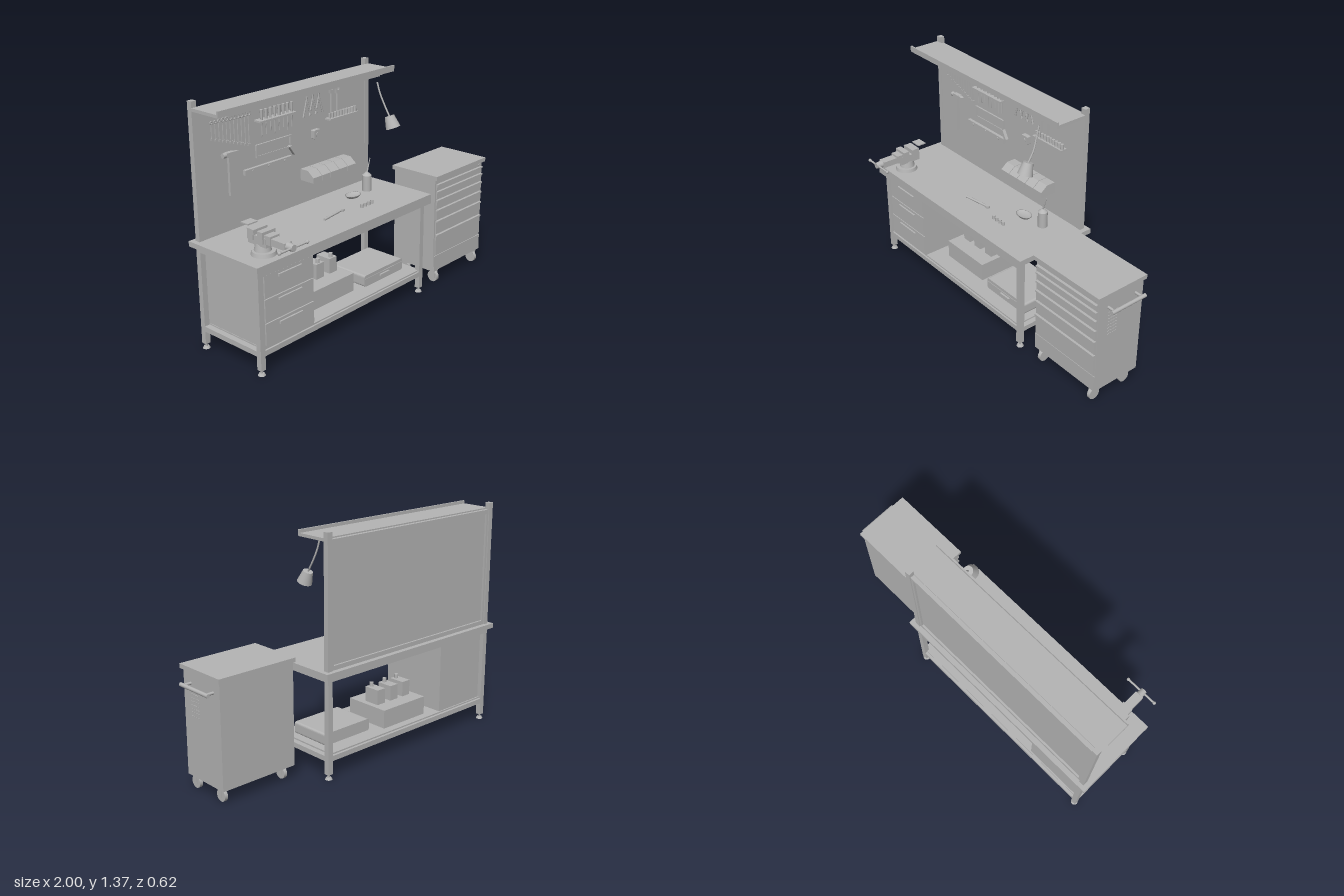
import * as THREE from 'three';

const steel = new THREE.MeshStandardMaterial({ color: 0xb4b4b4 });
steel.name = 'grey steel';

export function createModel() {
  const root = new THREE.Group();
  root.name = 'workshopBench';
  let target = root;

  // Helpers
  const add = (name, geo, x = 0, y = 0, z = 0) => {
    const m = new THREE.Mesh(geo, steel);
    m.name = name;
    m.position.set(x, y, z);
    target.add(m);
    return m;
  };
  const section = (name) => {
    target = new THREE.Group();
    target.name = name;
    root.add(target);
  };
  const box = (name, x0, x1, y0, y1, z0, z1) =>
    add(name, new THREE.BoxGeometry(x1 - x0, y1 - y0, z1 - z0), (x0 + x1) / 2, (y0 + y1) / 2, (z0 + z1) / 2);
  const cyl = (name, r0, r1, h, x, y, z, seg = 20) => add(name, new THREE.CylinderGeometry(r0, r1, h, seg), x, y, z);
  const V = (p) => new THREE.Vector3(...p);
  // Rod between two points
  const rod = (name, a, b, r0, r1 = r0, seg = 12) => {
    const A = V(a), d = V(b).sub(A);
    const m = cyl(name, r1, r0, d.length(), 0, 0, 0, seg);
    m.position.copy(A).addScaledVector(d, 0.5);
    m.quaternion.setFromUnitVectors(new THREE.Vector3(0, 1, 0), d.normalize());
    return m;
  };
  // Flat shape in x and y, given thickness along z
  const plate = (name, pts, depth, x, y, z) =>
    add(name, new THREE.ExtrudeGeometry(new THREE.Shape(pts.map((p) => new THREE.Vector2(...p))),
      { depth, bevelEnabled: false }), x, y, z);
  const roundedBox = (name, x0, x1, y0, y1, z0, z1, r) => {
    const w = x1 - x0, h = y1 - y0, s = new THREE.Shape();
    s.moveTo(r, 0).lineTo(w - r, 0).quadraticCurveTo(w, 0, w, r).lineTo(w, h - r).quadraticCurveTo(w, h, w - r, h);
    s.lineTo(r, h).quadraticCurveTo(0, h, 0, h - r).lineTo(0, r).quadraticCurveTo(0, 0, r, 0);
    return add(name, new THREE.ExtrudeGeometry(s, { depth: z1 - z0, bevelEnabled: false, curveSegments: 5 }), x0, y0, z0);
  };

  // Bench frame, shelf and worktop
  section('benchFrame');
  box('worktop', -1, 0.374, 0.593, 0.622, -0.31, 0.204);
  box('worktopFrontLip', -1, 0.374, 0.565, 0.593, 0.19, 0.204);
  for (const x of [-0.957, 0.33]) {
    box('rearPost', x - 0.016, x + 0.016, 0.03, 1.365, -0.286, -0.255);
    box('frontLeg', x - 0.016, x + 0.016, 0.03, 0.593, 0.145, 0.176);
    for (const z of [-0.27, 0.16]) {
      cyl('footPad', 0.014, 0.021, 0.012, x, 0.006, z);
      cyl('footStem', 0.006, 0.006, 0.03, x, 0.02, z, 10);
    }
    for (const y of [0.107, 0.563]) box('sideRail', x - 0.016, x + 0.016, y, y + 0.03, -0.255, 0.145);
  }
  for (const y of [0.107, 0.563])
    for (const z of [-0.286, 0.145]) box('longRail', -0.941, 0.314, y, y + 0.03, z, z + 0.031);
  box('lowerShelf', -0.941, 0.314, 0.132, 0.145, -0.27, 0.165);

  // Tool board with rear border and top shelf
  section('toolBoard');
  box('boardPanel', -0.941, 0.314, 0.622, 1.325, -0.268, -0.257);
  for (const y of [0.622, 1.3]) box('boardRail', -0.941, 0.314, y, y + 0.025, -0.28, -0.268);
  for (const x of [-0.941, 0.3]) box('boardStile', x, x + 0.014, 0.647, 1.3, -0.28, -0.268);
  box('topShelf', -0.973, 0.346, 1.315, 1.332, -0.257, -0.06);
  box('topShelfLip', -0.973, 0.346, 1.315, 1.35, -0.07, -0.06);
  box('lightFixture', -0.89, 0.275, 1.304, 1.315, -0.135, -0.085);
  box('lightTube', -0.875, 0.26, 1.295, 1.304, -0.125, -0.095);

  // Gooseneck lamp
  section('lamp');
  const neck = new THREE.CatmullRomCurve3([[0.2, 1.278, -0.063], [0.203, 1.22, -0.046], [0.212, 1.15, -0.018], [0.213, 1.09, 0.018]].map(V));
  add('lampNeck', new THREE.TubeGeometry(neck, 20, 0.005, 8));
  rod('lampHead', [0.213, 1.092, 0.018], [0.217, 1.027, 0.043], 0.028, 0.043, 24);

  // Under-bench drawer cabinet
  section('drawerCabinet');
  box('cabinetBody', -0.938, -0.577, 0.145, 0.593, -0.262, 0.165);
  [[0.16, 0.28], [0.286, 0.414], [0.42, 0.545]].forEach(([a, b]) => {
    box('drawerFront', -0.928, -0.582, a, b, 0.165, 0.173);
    box('drawerHandle', -0.835, -0.67, b - 0.03, b - 0.016, 0.173, 0.183);
  });

  // Stored items on the lower shelf
  section('storedItems');
  box('crate', -0.483, -0.145, 0.145, 0.255, -0.223, 0.06);
  for (const x of [-0.417, -0.315, -0.209]) {
    box('bottle', x - 0.03, x + 0.03, 0.255, 0.345, -0.135, -0.035);
    cyl('bottleCap', 0.012, 0.012, 0.025, x, 0.357, -0.055, 14);
  }
  roundedBox('carryCase', -0.07, 0.27, 0.145, 0.215, -0.175, 0.08, 0.014);
  box('caseHandle', 0.06, 0.14, 0.172, 0.184, 0.08, 0.092);
  box('caseSeam', -0.068, 0.268, 0.193, 0.196, 0.08, 0.083);

  // Bench vise
  section('vise');
  const vx = -0.853;
  cyl('viseBase', 0.062, 0.067, 0.02, vx, 0.632, 0.096, 28);
  cyl('viseSwivel', 0.038, 0.046, 0.04, vx, 0.66, 0.09, 24);
  box('viseBody', vx - 0.035, vx + 0.035, 0.675, 0.725, 0.02, 0.15);
  box('rearJaw', vx - 0.045, vx + 0.045, 0.7, 0.757, 0.027, 0.067);
  box('jawPlate', vx - 0.048, vx + 0.048, 0.73, 0.757, 0.067, 0.077);
  box('frontJaw', vx - 0.045, vx + 0.045, 0.695, 0.757, 0.1, 0.137);
  box('frontJawBlock', vx - 0.032, vx + 0.032, 0.695, 0.742, 0.137, 0.178);
  box('anvilPlate', vx - 0.033, vx + 0.033, 0.763, 0.77, -0.03, 0.023);
  box('slideBar', vx - 0.026, vx + 0.026, 0.694, 0.731, 0.14, 0.272);
  rod('viseScrew', [vx, 0.712, 0.272], [vx, 0.712, 0.312], 0.022, 0.018, 16);
  rod('viseHandle', [-0.94, 0.71, 0.3], [-0.75, 0.71, 0.3], 0.006);
  for (const x of [-0.94, -0.75]) add('handleKnob', new THREE.SphereGeometry(0.01, 12, 8), x, 0.71, 0.3);

  // Loose items on the worktop
  section('worktopItems');
  cyl('oilCan', 0.028, 0.028, 0.095, 0.181, 0.669, -0.122);
  cyl('oilCanTop', 0.008, 0.028, 0.018, 0.181, 0.7255, -0.122);
  rod('oilCanSpout', [0.181, 0.73, -0.122], [0.209, 0.815, -0.122], 0.005, 0.002, 8);
  rod('ratchetHandle', [-0.335, 0.629, 0.022], [-0.17, 0.629, -0.004], 0.007);
  cyl('ratchetHead', 0.014, 0.014, 0.014, -0.167, 0.629, -0.004, 16);
  for (let i = 0; i < 4; i++) cyl('socket', 0.01, 0.01, 0.022, -0.052 + i * 0.029, 0.633, 0.043, 14);
  const dish = add('partsDish', new THREE.LatheGeometry([[0, 0.002], [0.034, 0.002], [0.046, 0.016], [0.042, 0.016], [0.032, 0.006], [0, 0.006]]
    .map((p) => new THREE.Vector2(...p)), 24), 0.04, 0.622, -0.105);
  dish.scale.set(1.2, 1, 0.85);

  // Hanging spanners, growing in size
  section('hangingTools');
  for (let i = 0; i < 11; i++) {
    const x = -0.862 + i * 0.025, k = 0.007 + i * 0.0007, low = 1.155 - i * 0.0085;
    add('spannerRing', new THREE.TorusGeometry(k, 0.0035, 6, 14), x, 1.235, -0.245);
    box('spannerShank', x - 0.003, x + 0.003, low, 1.235 - k, -0.248, -0.242);
    box('spannerJaw', x - k * 0.8, x + k * 0.8, low - 0.012, low, -0.249, -0.241);
  }
  // Screwdrivers in their rack
  box('screwdriverRack', -0.565, -0.3, 1.175, 1.185, -0.257, -0.205);
  for (let i = 0; i < 8; i++) {
    const x = -0.535 + i * 0.0315;
    cyl('screwdriverHandle', 0.009, 0.007, 0.055, x, 1.212, -0.23, 10);
    cyl('screwdriverBlade', 0.003, 0.003, 0.09 - (i % 3) * 0.012, x, 1.133 + (i % 3) * 0.006, -0.23, 8);
  }
  // Pliers hung with handles apart
  for (const x of [-0.182, -0.134, -0.086])
    for (const s of [-1, 1]) {
      rod('plierHandle', [x + s * 0.029, 1.125, -0.245], [x, 1.225, -0.245], 0.005, 0.004, 8);
      rod('plierJaw', [x, 1.22, -0.245], [x + s * 0.005, 1.268, -0.245], 0.006, 0.003, 8);
    }
  // Adjustable spanners and socket rail
  for (const [x, y] of [[0.016, 1.255], [0.067, 1.245]]) {
    box('adjustableShank', x - 0.007, x + 0.007, 1.09, y - 0.03, -0.25, -0.238);
    plate('adjustableHead', [[-0.015, -0.035], [0.015, -0.035], [0.019, 0], [0.007, 0], [0.006, -0.016], [-0.007, -0.016], [-0.009, 0.004], [-0.018, 0]], 0.016, x, y, -0.252);
  }
  box('socketRail', -0.027, 0.212, 1.07, 1.08, -0.257, -0.215);
  for (let i = 0; i < 10; i++) cyl('railSocket', 0.0075 + i * 0.0003, 0.0075 + i * 0.0003, 0.03, -0.012 + i * 0.0235, 1.095, -0.234, 12);
  // Hammer
  box('hammerHandle', -0.769, -0.753, 0.823, 1.05, -0.247, -0.231);
  box('hammerHead', -0.785, -0.735, 1.035, 1.06, -0.252, -0.226);
  plate('hammerPeen', [[0, -0.01], [0.032, 0], [0.032, 0.006], [0, 0.01]], 0.02, -0.735, 1.049, -0.249);
  rod('hammerFace', [-0.785, 1.048, -0.239], [-0.805, 1.048, -0.239], 0.014);
  // Hacksaw
  box('sawFrame', -0.57, -0.315, 1.043, 1.051, -0.247, -0.237);
  box('sawFrameEnd', -0.573, -0.565, 0.98, 1.051, -0.247, -0.237);
  box('sawFrameEnd', -0.322, -0.314, 0.975, 1.051, -0.247, -0.237);
  box('sawBlade', -0.57, -0.318, 0.979, 0.988, -0.244, -0.24);
  plate('sawHandle', [[0, 0.01], [0.038, -0.045], [0.052, -0.036], [0.02, 0.016]], 0.02, -0.333, 0.977, -0.252);
  // Spirit level and tape measure
  box('spiritLevel', -0.655, -0.312, 0.902, 0.931, -0.257, -0.238);
  for (const x of [-0.6, -0.484, -0.365]) cyl('levelVial', 0.008, 0.008, 0.006, x, 0.917, -0.237, 12).rotation.x = Math.PI / 2;
  roundedBox('tapeMeasure', -0.141, -0.09, 0.984, 1.036, -0.257, -0.23, 0.006);
  cyl('tapeHub', 0.013, 0.013, 0.006, -0.115, 1.01, -0.229, 16).rotation.x = Math.PI / 2;

  // Row of storage bins with sloped fronts
  section('storageBins');
  for (let i = 0; i < 5; i++)
    plate('storageBin', [[0.257, 0], [0.157, 0], [0.157, 0.032], [0.2, 0.066], [0.257, 0.066]].reverse(),
      0.068, -0.162 + i * 0.0715, 0.763, 0).rotation.y = Math.PI / 2;
  for (const b of target.children) { b.rotation.y = Math.PI / 2; b.position.x -= 0.068; }

  // Roller cart
  section('rollerCart');
  box('cartBody', 0.465, 0.942, 0.083, 0.675, -0.143, 0.165);
  box('cartTop', 0.457, 0.953, 0.675, 0.7, -0.155, 0.183);
  const edges = [0.187, 0.327, 0.417, 0.487, 0.55, 0.605, 0.65];
  for (let i = 0; i < 6; i++) {
    box('cartDrawer', 0.475, 0.932, edges[i] + 0.003, edges[i + 1] - 0.012, 0.165, 0.173);
    box('cartDrawerPull', 0.475, 0.932, edges[i + 1] - 0.014, edges[i + 1] - 0.004, 0.165, 0.181);
  }
  box('cartBasePanel', 0.468, 0.939, 0.086, 0.183, 0.165, 0.17);
  cyl('cartLock', 0.007, 0.007, 0.008, 0.91, 0.661, 0.168, 12).rotation.x = Math.PI / 2;
  rod('cartHandle', [0.989, 0.61, -0.112], [0.989, 0.61, 0.125], 0.011, 0.011, 14);
  for (const z of [-0.09, 0.103]) rod('handleBracket', [0.94, 0.61, z], [0.989, 0.61, z], 0.008);
  for (let r = 0; r < 8; r++)
    for (let c = 0; c < 4; c++) box('ventSlot', 0.942, 0.945, 0.43 + r * 0.02, 0.435 + r * 0.02, 0.036 + c * 0.018, 0.048 + c * 0.018);
  // Castors
  for (const x of [0.507, 0.905])
    for (const z of [-0.083, 0.137]) {
      cyl('castorWheel', 0.035, 0.035, 0.02, x, 0.035, z, 24).rotation.z = Math.PI / 2;
      for (const s of [-1, 1]) box('castorFork', x + s * 0.014 - 0.002, x + s * 0.014 + 0.002, 0.028, 0.075, z - 0.013, z + 0.02);
      box('castorPlate', x - 0.02, x + 0.02, 0.073, 0.083, z - 0.022, z + 0.022);
    }
  return root;
}
